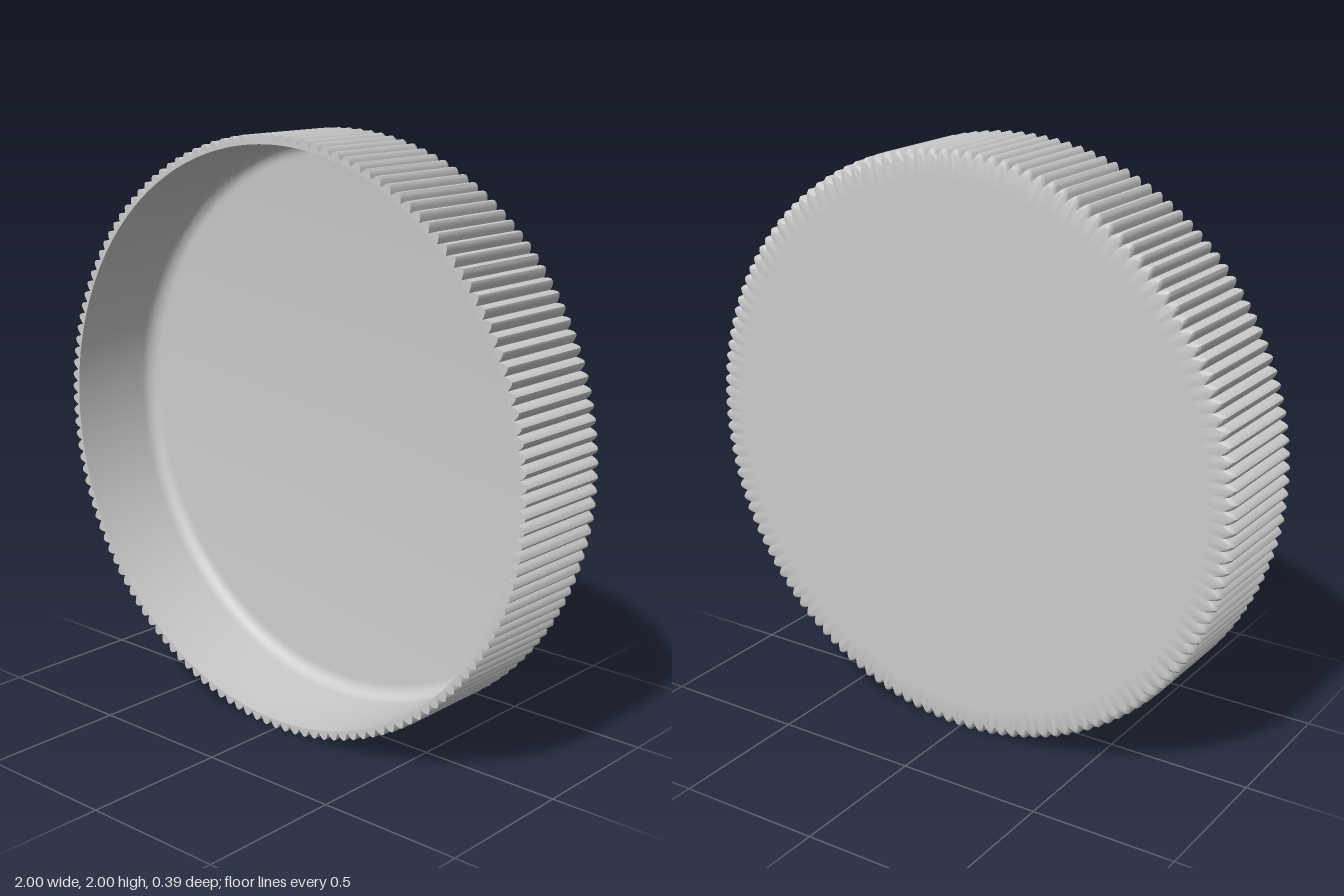
import * as THREE from 'three';
import { toCreasedNormals } from 'three/addons/utils/BufferGeometryUtils.js';

const RIDGES = 140, STEPS = 6, SEG = RIDGES * STEPS;
const ROOT = 0.975, TIP = 1, HALF = 0.195;

// Rounded ridges with sharp valleys between them, as a height from 0 to 1
const ridge = (j) => Math.abs(Math.cos((Math.PI * (j % STEPS)) / STEPS));

// Profile from the centre of the back, around the wall, to the centre of the
// inner floor: [radius, z, amount of ridge]
function capProfile() {
  const rows = [[0, -HALF, 0], [0.9, -HALF, 0]];
  const round = 0.02, fillet = 0.05, inner = 0.968, floor = -HALF + 0.03;
  // rounded outer edge at the back
  for (let i = 0; i <= 4; i++) {
    const a = (i / 4) * Math.PI / 2;
    rows.push([ROOT - round + round * Math.sin(a), -HALF + round * (1 - Math.cos(a)), 1]);
  }
  // grip wall, front rim and inner wall
  rows.push([ROOT, HALF, 1], [inner, HALF, 0]);
  // fillet between the inner wall and the floor
  for (let i = 0; i <= 6; i++) {
    const a = (i / 6) * Math.PI / 2;
    rows.push([inner - fillet * (1 - Math.cos(a)), floor + fillet * (1 - Math.sin(a)), 0]);
  }
  rows.push([0, floor, 0]);
  return rows;
}

// Sweep the profile around z, adding the ridges to the radius
function sweep(rows) {
  const pos = [], index = [];
  rows.forEach(([r, z, amount]) => {
    for (let j = 0; j < SEG; j++) {
      const a = (j / SEG) * Math.PI * 2;
      const radius = r + amount * (TIP - ROOT) * ridge(j);
      pos.push(radius * Math.cos(a), radius * Math.sin(a), z);
    }
  });
  for (let i = 0; i < rows.length - 1; i++) {
    for (let j = 0; j < SEG; j++) {
      const k = (j + 1) % SEG;
      const a = i * SEG + j, b = i * SEG + k, c = b + SEG, d = a + SEG;
      if (rows[i][0] > 0) index.push(a, b, rows[i + 1][0] > 0 ? c : d);
      if (rows[i + 1][0] > 0) index.push(a, c, d);
    }
  }
  const geometry = new THREE.BufferGeometry();
  geometry.setAttribute('position', new THREE.Float32BufferAttribute(pos, 3));
  geometry.setIndex(index);
  return toCreasedNormals(geometry, 0.7);
}

export function createModel() {
  const group = new THREE.Group();
  group.name = 'ridgedCap';
  const material = new THREE.MeshStandardMaterial({ color: 0xcccccc });
  const cap = new THREE.Mesh(sweep(capProfile()), material);
  cap.name = 'capShell';
  cap.position.y = 1;
  group.add(cap);
  return group;
}
